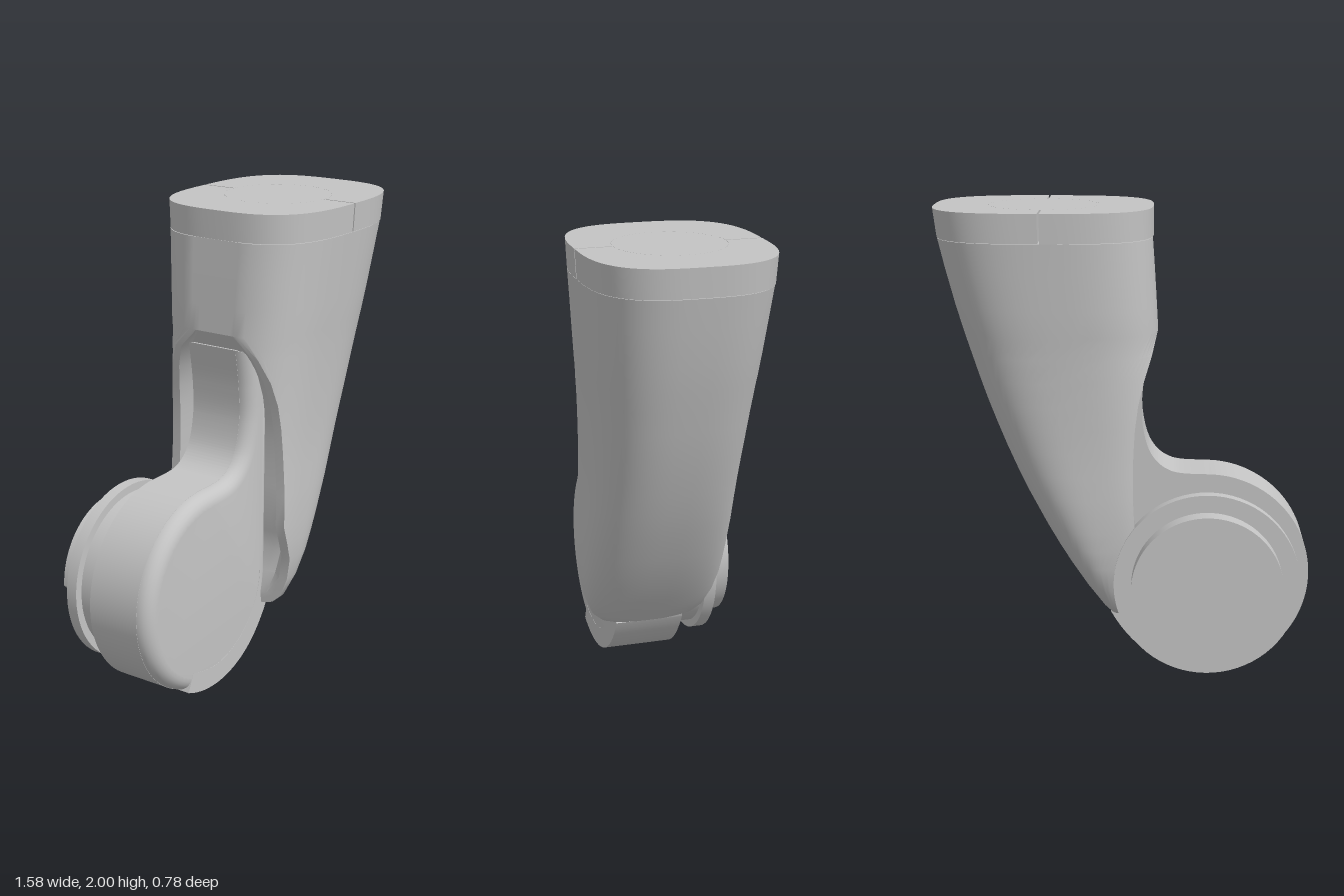
import * as THREE from 'three';
import { toCreasedNormals } from 'three/addons/utils/BufferGeometryUtils.js';

const grey = new THREE.MeshStandardMaterial({ color: 0xc4c4c4 });
grey.name = 'grey';

const HINGE = { x: -0.357, y: 0.44, r: 0.439 };
const CAP = { x: 0.33, z: 0.006, hx: 0.457, hz: 0.384 };
const SQUARE = 3; // superellipse exponent of the arm's outline

function add(parent, name, geometry, crease = 0.6) {
  const mesh = new THREE.Mesh(toCreasedNormals(geometry, crease), grey);
  mesh.name = name;
  parent.add(mesh);
  return mesh;
}

const power = (v, n) => Math.sign(v) * Math.pow(Math.abs(v), 2 / n);

// Rows: y, uncut left x, cut left x, right x, half depth, recess depth
const ROWS = [
  [0.26, -0.04, 0.0, 0.05, 0.16, 0],
  [0.275, -0.06, 0.0, 0.063, 0.21, 0],
  [0.31, -0.08, 0.0, 0.093, 0.25, 0],
  [0.4, -0.12, 0.0, 0.163, 0.286, 0.03],
  [0.5, -0.15, -0.005, 0.232, 0.304, 0.06],
  [0.58, -0.18, -0.03, 0.283, 0.31, 0.08],
  [0.66, -0.2, -0.053, 0.33, 0.313, 0.09],
  [0.8, -0.2, -0.046, 0.405, 0.313, 0.09],
  [0.9, -0.195, -0.045, 0.453, 0.311, 0.09],
  [1.0, -0.19, -0.047, 0.497, 0.311, 0.09],
  [1.1, -0.182, -0.053, 0.537, 0.314, 0.085],
  [1.2, -0.175, -0.066, 0.575, 0.319, 0.075],
  [1.3, -0.167, -0.09, 0.609, 0.325, 0.06],
  [1.4, -0.16, -0.122, 0.641, 0.333, 0.035],
  [1.49, -0.152, -0.152, 0.67, 0.341, 0],
  [1.6, -0.146, -0.146, 0.702, 0.351, 0],
  [1.75, -0.137, -0.137, 0.741, 0.364, 0],
  [1.878, -0.128, -0.128, 0.771, 0.376, 0],
];

// One outline: a superellipse cut straight on the left, the cut face recessed
function armSection([y, full, left, right, hz, recess]) {
  const ARC = 64, CUT = 14, pts = [];
  const cx = (full + right) / 2, hx = (right - full) / 2;
  const u = Math.max(-0.985, (left - cx) / hx);
  const end = Math.acos(Math.sign(u) * Math.pow(Math.abs(u), SQUARE / 2));
  for (let i = 0; i <= ARC; i++) {
    const a = -end + (2 * end * i) / ARC;
    pts.push([cx + hx * power(Math.cos(a), SQUARE), y, CAP.z + hz * power(Math.sin(a), SQUARE)]);
  }
  const rim = pts[ARC];
  for (let i = 1; i < CUT; i++) {
    const k = 1 - (2 * i) / CUT;
    const deep = i > 1 && i < CUT - 1 ? recess : 0;
    pts.push([rim[0] + deep, y, CAP.z + (rim[2] - CAP.z) * k]);
  }
  return pts;
}

// Closed loft through the rows
function armGeometry() {
  const sections = ROWS.map(armSection);
  const N = sections[0].length, last = ROWS.length - 1;
  const pos = sections.flat(2), index = [];
  for (let i = 0; i < last; i++) {
    for (let j = 0; j < N; j++) {
      const k = (j + 1) % N, a = i * N + j, b = i * N + k;
      index.push(a, a + N, b, b, a + N, b + N);
    }
  }
  // End faces
  for (const i of [0, last]) {
    const row = ROWS[i], centre = pos.length / 3;
    pos.push((row[2] + row[3]) / 2, row[0], CAP.z);
    for (let j = 0; j < N; j++) {
      const a = i * N + j, b = i * N + ((j + 1) % N);
      if (i === 0) index.push(centre, a, b);
      else index.push(centre, b, a);
    }
  }
  const g = new THREE.BufferGeometry();
  g.setAttribute('position', new THREE.Float32BufferAttribute(pos, 3));
  g.setIndex(index);
  return g;
}

// Half of the end cap ring, leaving a narrow slot on the centre line
function capHalf(side) {
  const gap = 0.004, r = 0.231, height = 0.12, pts = [], M = 48;
  for (let i = 0; i <= M; i++) {
    const a = -Math.PI / 2 + (i / M) * Math.PI;
    pts.push(new THREE.Vector2(
      side * Math.max(gap, CAP.hx * power(Math.cos(a), SQUARE)),
      CAP.hz * power(Math.sin(a), SQUARE)));
  }
  for (let i = M; i >= 0; i--) {
    const a = -Math.PI / 2 + (i / M) * Math.PI;
    pts.push(new THREE.Vector2(side * Math.max(gap, r * Math.cos(a)), r * Math.sin(a)));
  }
  const g = new THREE.ExtrudeGeometry(new THREE.Shape(pts), { depth: height, bevelEnabled: false });
  g.rotateX(-Math.PI / 2);
  // Slight taper and lean toward the arm
  const p = g.attributes.position;
  for (let i = 0; i < p.count; i++) {
    const drop = 1 - p.getY(i) / height, x = p.getX(i);
    if (Math.abs(x) > 0.01) p.setX(i, x * (1 - 0.016 * drop) - 0.008 * drop * Math.abs(x) / CAP.hx);
    p.setZ(i, p.getZ(i) * (1 - 0.018 * drop));
  }
  return g.translate(CAP.x, 2 - height, CAP.z);
}

// Underside of the knuckle, sweeping from the round into the arm
function sweepUnder(shape, startAngle) {
  shape.absarc(HINGE.x, HINGE.y, HINGE.r, startAngle, Math.PI * 1.66, false);
  shape.quadraticCurveTo(-0.03, 0.119, 0.05, 0.262);
}

// Round hinge body with a neck curving up into the arm
function knuckleShape() {
  const s = new THREE.Shape();
  s.moveTo(0.05, 0.262);
  s.lineTo(0.06, 0.4);
  s.lineTo(0.07, 1.42);
  s.lineTo(-0.11, 1.42);
  s.splineThru([[-0.085, 1.25], [-0.083, 1.1], [-0.122, 0.965], [-0.21, 0.892], [HINGE.x, HINGE.y + HINGE.r]]
    .map(([x, y]) => new THREE.Vector2(x, y)));
  sweepUnder(s, Math.PI / 2);
  return s;
}

function extrude(shape, z0, z1, options = {}) {
  const g = new THREE.ExtrudeGeometry(shape, {
    depth: z1 - z0, bevelEnabled: false, curveSegments: 48, ...options });
  return g.translate(0, 0, z0);
}

function disc(r, z0, z1) {
  const g = new THREE.CylinderGeometry(r, r, z1 - z0, 72);
  return g.rotateX(Math.PI / 2).translate(HINGE.x, HINGE.y, (z0 + z1) / 2);
}

export function createModel() {
  const model = new THREE.Group();
  model.name = 'hingedArm';

  add(model, 'arm', armGeometry());

  // End cap: two halves around a round core
  const cap = new THREE.Group();
  cap.name = 'endCap';
  model.add(cap);
  add(cap, 'capLeft', capHalf(1));
  add(cap, 'capRight', capHalf(-1));
  add(cap, 'capCore', new THREE.CylinderGeometry(0.23, 0.23, 0.13, 96)
    .translate(CAP.x, 1.935, CAP.z));

  // Knuckle: square at the back, rounded at the front
  const knuckle = new THREE.Group();
  knuckle.name = 'knuckle';
  model.add(knuckle);
  const shape = knuckleShape(), b = 0.06;
  add(knuckle, 'knuckleBody', extrude(shape, -0.145, 0.095));
  add(knuckle, 'knuckleFront', extrude(shape, 0, 0.155 - b, {
    bevelEnabled: true, bevelSize: b, bevelThickness: b, bevelOffset: -b - 0.001, bevelSegments: 6 }), 0.5);

  // Square-edged lip under the knuckle
  const lip = new THREE.Shape();
  sweepUnder(lip, Math.PI * 1.37);
  lip.lineTo(0.0, 0.27);
  lip.lineTo(-0.007, 0.44);
  lip.absarc(HINGE.x, HINGE.y, 0.35, 0, Math.PI * 1.37, true);
  add(knuckle, 'knuckleLip', extrude(lip, 0.05, 0.156));

  // Stepped pivot at the back
  const pivot = new THREE.Group();
  pivot.name = 'pivot';
  model.add(pivot);
  add(pivot, 'pivotCollar', disc(0.358, -0.27, -0.14));
  add(pivot, 'pivotFlange', disc(0.392, -0.31, -0.26));
  const boss = new THREE.Shape();
  boss.absarc(HINGE.x, HINGE.y, 0.318, Math.PI * 1.5, Math.PI * 3, false);
  boss.closePath();
  add(pivot, 'pivotBoss', extrude(boss, -0.39, -0.305));

  return model;
}
